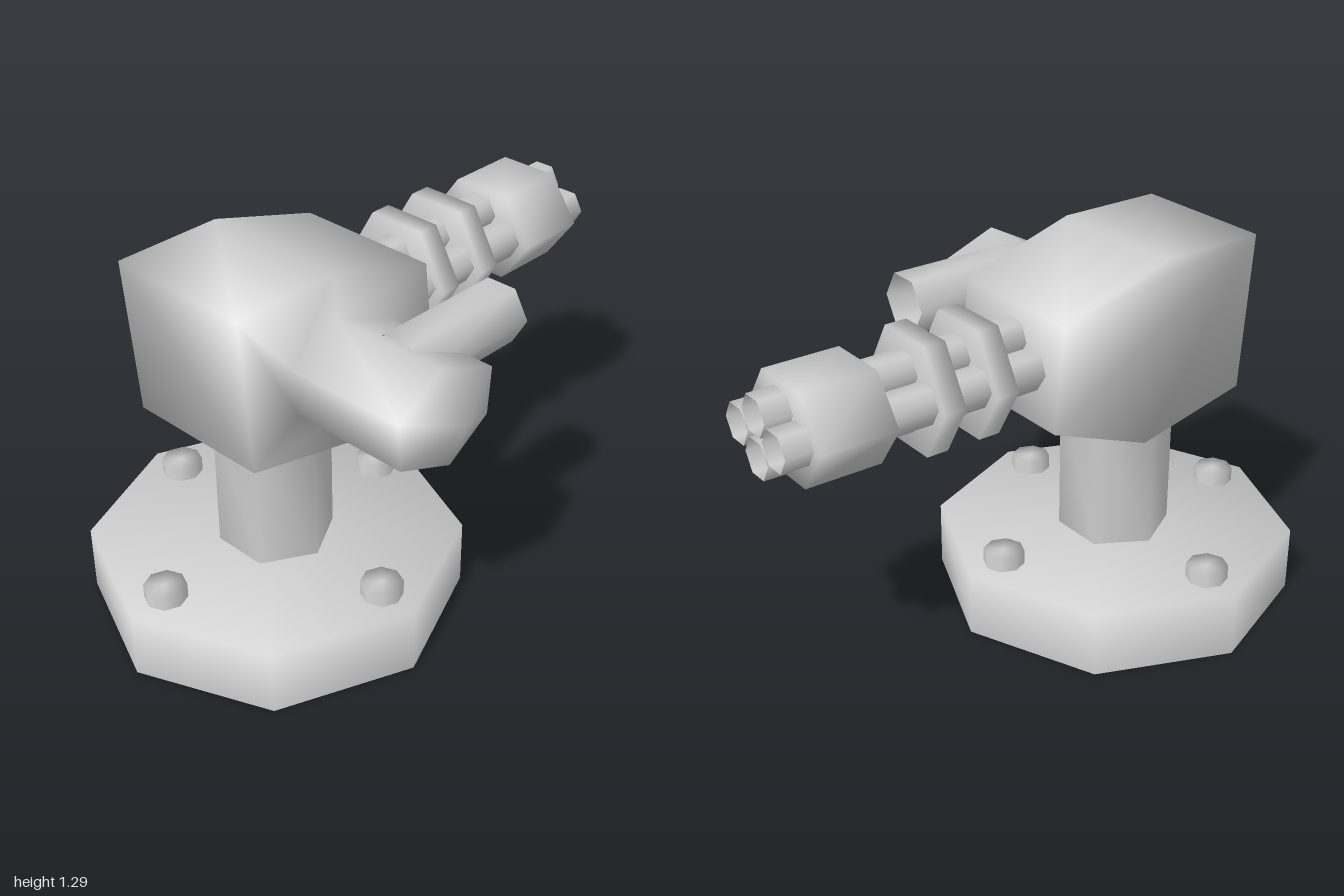
import * as THREE from 'three';
import { mergeVertices } from 'three/addons/utils/BufferGeometryUtils.js';

const CX = -0.065, CZ = 0.37;   // pedestal axis
const GUN_Y = 0.985;            // barrel cluster axis height

const material = new THREE.MeshStandardMaterial({ color: 0xcccccc, side: THREE.DoubleSide });

function addMesh(parent, name, geometry) {
  const mesh = new THREE.Mesh(geometry, material);
  mesh.name = name;
  parent.add(mesh);
  return mesh;
}

// Few-sided solid with shared, smoothed normals; corners lie on the x axis.
function prism(sides, r, y0, y1, capStart, capEnd) {
  const pts = [[r, y0], [r, y1]];
  if (capStart) pts.unshift([0, y0]);
  if (capEnd) pts.push([0, y1]);
  const g = new THREE.LatheGeometry(pts.map(p => new THREE.Vector2(...p)), sides, Math.PI / 2);
  g.deleteAttribute('normal');
  g.deleteAttribute('uv');
  const merged = mergeVertices(g);
  merged.computeVertexNormals();
  return merged;
}

// Same solid lying along z, running backwards from z0 to z1.
function prismZ(r, z0, z1, capped, x, y, squash = 1) {
  return prism(6, r, -z0, -z1, capped, capped)
    .rotateX(-Math.PI / 2).scale(1, squash, 1).translate(x, y, 0);
}

// Housing and side arm: six-sided sections lofted along x, closed by a pointed tip.
function housingGeometry() {
  const body = [[0.73, 1.295], [0.35, 1.295], [-0.06, 1.17], [-0.1, 0.815], [0.28, 0.667], [0.69, 0.758]];
  const arm = [[0.52, 1.04], [0.335, 1.137], [0.112, 1.05], [0.125, 0.89], [0.29, 0.787], [0.505, 0.875]];
  const rings = [[-0.315, body], [0.2, body], [0.2, arm], [0.615, arm]];
  const pos = [], idx = [];
  for (const [x, section] of rings) for (const [z, y] of section) pos.push(x, y, z);
  const tip = pos.length / 3;
  pos.push(0.69, 0.965, 0.31);
  for (let r = 0; r < rings.length; r++) {
    for (let i = 0; i < 6; i++) {
      const a = r * 6 + i, b = r * 6 + (i + 1) % 6;
      if (r === rings.length - 1) idx.push(a, tip, b);
      else idx.push(a, a + 6, b, b, a + 6, b + 6);
    }
  }
  for (let i = 1; i < 5; i++) idx.push(0, i, i + 1);
  const g = new THREE.BufferGeometry();
  g.setAttribute('position', new THREE.Float32BufferAttribute(pos, 3));
  g.setIndex(idx);
  g.computeVertexNormals();
  return g;
}

export function createModel() {
  const model = new THREE.Group();
  model.name = 'turret';

  // Hollow base with four bolts and the column
  const pedestal = new THREE.Group();
  pedestal.name = 'pedestal';
  pedestal.position.set(CX, 0, CZ);
  model.add(pedestal);
  addMesh(pedestal, 'base', prism(8, 0.627, 0, 0.23, false, true));
  addMesh(pedestal, 'column', prism(6, 0.195, 0.2, 0.74, false, false));
  for (let i = 0; i < 4; i++) {
    const a = i * Math.PI / 2;
    addMesh(pedestal, 'bolt', prism(8, 0.07, 0.04, 0.28, false, true))
      .position.set(0.485 * Math.cos(a), 0, 0.485 * Math.sin(a));
  }

  // Housing with arm, and the short open tube on the arm
  addMesh(model, 'housing', housingGeometry());
  addMesh(model, 'sideTube', prismZ(0.108, 0.3, -0.18, false, 0.407, 1.038));

  // Cluster of four open barrels held by two rings and a muzzle block
  const gun = new THREE.Group();
  gun.name = 'barrelCluster';
  model.add(gun);
  for (const [dx, dy] of [[0, 0.07], [0, -0.07], [-0.11, 0], [0.11, 0]]) {
    addMesh(gun, 'barrel', prismZ(0.068, 0, -1, false, CX + dx, GUN_Y + dy));
  }
  for (const z of [-0.21, -0.405]) {
    addMesh(gun, 'ring', prismZ(0.213, z, z - 0.077, true, CX, GUN_Y - 0.003));
  }
  addMesh(gun, 'muzzleBlock', prismZ(0.216, -0.645, -0.907, true, CX, GUN_Y, 0.82));

  return model;
}
